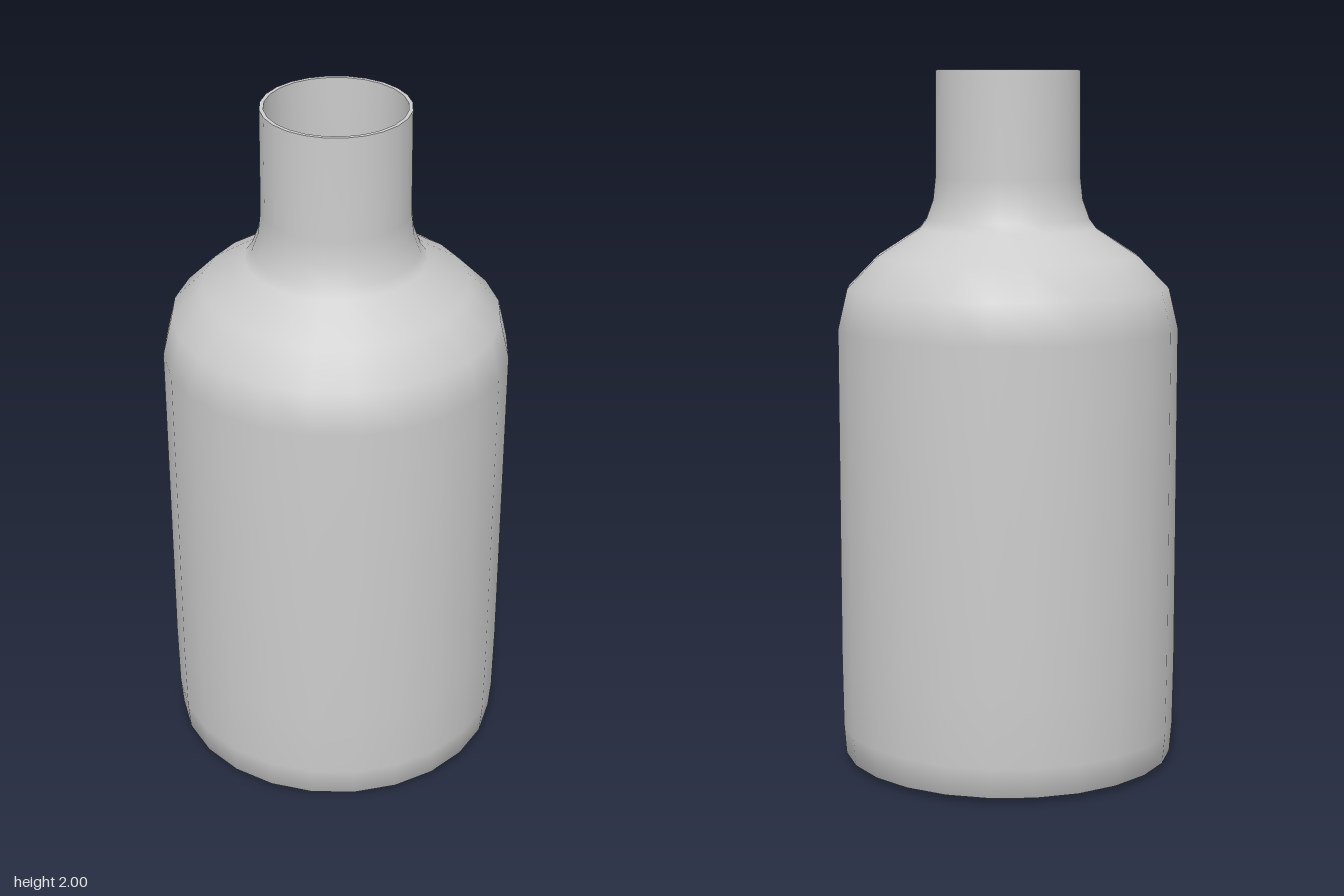
import * as THREE from 'three';

const SIDES = 24;

export function createModel() {
  const bottle = new THREE.Group();
  bottle.name = 'bottle';
  const material = new THREE.MeshStandardMaterial({ color: 0xcccccc });

  // Each part is a turned profile of [radius, height] points
  const turned = (name, profile) => {
    const points = profile.map(([r, y]) => new THREE.Vector2(r, y));
    const mesh = new THREE.Mesh(new THREE.LatheGeometry(points, SIDES), material);
    mesh.name = name;
    bottle.add(mesh);
  };

  // Base, body, shoulder and neck
  const outer = [
    [0, 0], [0.44, 0.003], [0.48, 0.015], [0.487, 0.1], [0.49, 0.3], [0.49, 1.27],
    [0.463, 1.385], [0.375, 1.475], [0.255, 1.553], [0.235, 1.58],
    [0.215, 1.635], [0.208, 1.7], [0.206, 2],
  ];
  turned('outerShell', outer);

  // Flat rim of the mouth
  turned('lip', [[0.206, 2], [0.195, 2]]);

  // Inner wall, running down to the floor inside
  const inner = outer.slice(2).reverse().map(([r, y]) => [r - 0.011, y]);
  inner[inner.length - 1][1] = 0.03;
  turned('innerWall', [...inner, [0.43, 0.016], [0, 0.012]]);

  return bottle;
}
